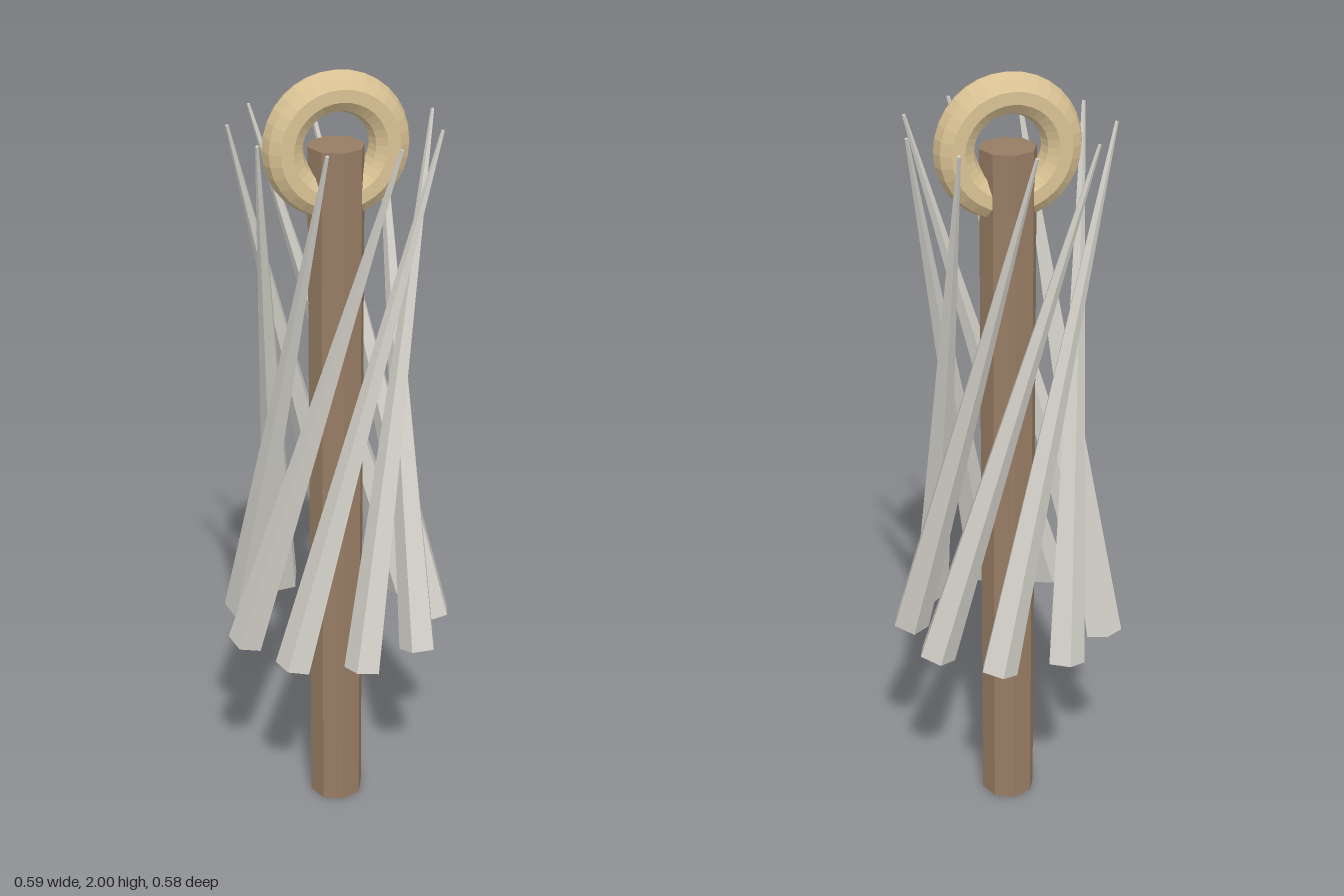
import * as THREE from 'three';

export function createModel() {
  const model = new THREE.Group();
  const mat = (name, color) => {
    const m = new THREE.MeshStandardMaterial({ color, flatShading: true });
    m.name = name;
    return m;
  };
  const wood = mat('brownWood', 0x977d64);
  const brass = mat('paleBrass', 0xd9c294);
  const metal = mat('lightGrey', 0xd2d0c8);
  const add = (name, geometry, material) => {
    const mesh = new THREE.Mesh(geometry, material);
    mesh.name = name;
    model.add(mesh);
    return mesh;
  };
  const cz = -0.004; // shared axis of pole, ring and spikes

  // Octagonal pole
  add('pole', new THREE.CylinderGeometry(0.07, 0.07, 1.82, 8), wood).position.set(0, 0.91, cz);

  // Ring threaded through the top of the pole
  add('ring', new THREE.TorusGeometry(0.13, 0.05, 10, 32), brass).position.set(0, 1.82, cz);

  // Twisted cage of nine tapered five-sided spikes
  const count = 9, radius = 0.255, twist = THREE.MathUtils.degToRad(-100);
  const up = new THREE.Vector3(0, 1, 0);
  const onCircle = (a, y) => new THREE.Vector3(radius * Math.cos(a), y, cz + radius * Math.sin(a));
  for (let i = 0; i < count; i++) {
    const a = Math.PI / 2 + (i / count) * Math.PI * 2;
    const base = onCircle(a, 0.527);
    const tip = onCircle(a + twist, 1.875);
    const axis = tip.clone().sub(base);
    const geometry = new THREE.CylinderGeometry(0.0045, 0.0485, axis.length(), 5).rotateY(Math.PI);
    const spike = add('spike' + (i + 1), geometry, metal);
    spike.position.copy(base).add(tip).multiplyScalar(0.5);
    spike.quaternion.setFromUnitVectors(up, axis.normalize());
  }
  return model;
}
